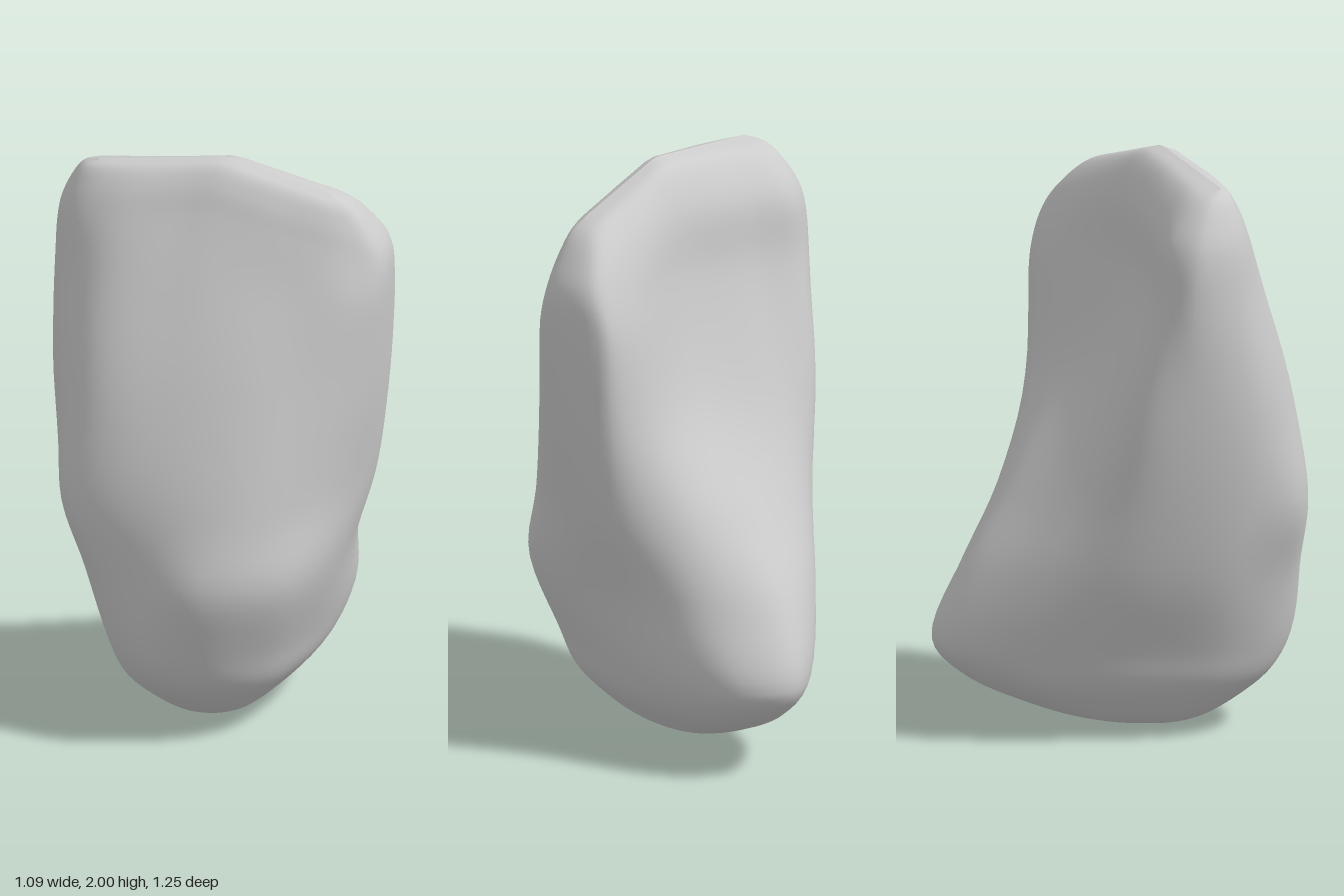
import * as THREE from 'three';

// Main cross-sections: height, then x,z pairs from the right end round the front, left and back
const sections = [
  [1.82, [.53, -.04, .46, .06, .27, .17, 0, .29, -.27, .41, -.45, .39, -.53, .24, -.46, .14, -.27, .1, 0, .02, .28, -.14, .45, -.21]],
  [1.6, [.545, -.03, .485, .1, .28, .23, 0, .37, -.27, .47, -.47, .4, -.545, .22, -.48, .12, -.27, .07, 0, -.01, .31, -.22, .44, -.26]],
  [1.2, [.515, -.02, .47, .17, .31, .36, .02, .5, -.26, .57, -.45, .45, -.52, .22, -.49, .04, -.3, -.06, 0, -.14, .27, -.27, .43, -.26]],
  [.85, [.465, .04, .435, .26, .3, .47, .03, .59, -.31, .605, -.42, .43, -.47, .2, -.45, -.02, -.33, -.2, -.05, -.36, .2, -.37, .4, -.24]],
  [.58, [.44, .18, .4, .4, .2, .59, 0, .61, -.23, .57, -.37, .38, -.41, .12, -.39, -.1, -.31, -.34, -.1, -.53, .15, -.46, .33, -.22]],
  [.32, [.345, .15, .32, .34, .2, .5, 0, .58, -.18, .52, -.28, .36, -.31, .1, -.3, -.16, -.25, -.44, -.1, -.625, .09, -.57, .26, -.29]],
];
const topCap = [[2, 1], [1.98, .6], [1.92, .28]];                      // height, pull toward the biting edge
const bottomCap = [[.2, .86], [.1, .6], [.04, .38], [.01, .18], [0, 0]]; // height, scale about the lowest point

const toPoints = ([y, xz]) =>
  Array.from({ length: xz.length / 2 }, (_, k) => new THREE.Vector3(xz[2 * k], y, xz[2 * k + 1]));

// Nearest place on the slanting biting edge
const edgePoint = (p, y) => {
  const x = THREE.MathUtils.clamp(p.x * .78, -.36, .37);
  return new THREE.Vector3(x, y, .17 - .42 * x);
};

function crownGeometry(rows = 70, cols = 80) {
  const main = sections.map(toPoints);
  const low = new THREE.Vector3(0, 0, .13);
  const rings = [
    ...topCap.map(([y, t]) => main[0].map(p => p.clone().setY(y).lerp(edgePoint(p, y), t))),
    ...main,
    ...bottomCap.map(([y, s]) => main[main.length - 1].map(p => p.clone().sub(low).multiplyScalar(s).add(low).setY(y))),
  ];
  // Smooth curves down the crown, then closed curves round it
  const columns = main[0].map((_, k) => new THREE.CatmullRomCurve3(rings.map(r => r[k])));
  const pos = [], index = [];
  for (let i = 0; i <= rows; i++) {
    const loop = new THREE.CatmullRomCurve3(columns.map(c => c.getPoint(i / rows)), true);
    for (let j = 0; j < cols; j++) {
      const p = loop.getPoint(j / cols);
      // The biting edge falls away on both sides of its peak
      const drop = p.x > .05 ? (p.x - .05) * .37 : (.05 - p.x) * .09;
      p.y -= drop * THREE.MathUtils.smoothstep(p.y, 1.35, 2);
      pos.push(p.x, p.y, p.z);
      if (i < rows) {
        const a = i * cols + j, b = i * cols + (j + 1) % cols;
        index.push(a, b, a + cols, b, b + cols, a + cols);
      }
    }
  }
  const g = new THREE.BufferGeometry();
  g.setAttribute('position', new THREE.Float32BufferAttribute(pos, 3));
  g.setIndex(index);
  g.computeVertexNormals();
  return g;
}

export function createModel() {
  const group = new THREE.Group();
  group.name = 'tooth';
  const crown = new THREE.Mesh(crownGeometry(), new THREE.MeshStandardMaterial({ color: 0xcccccc }));
  crown.name = 'crown';
  group.add(crown);
  return group;
}
